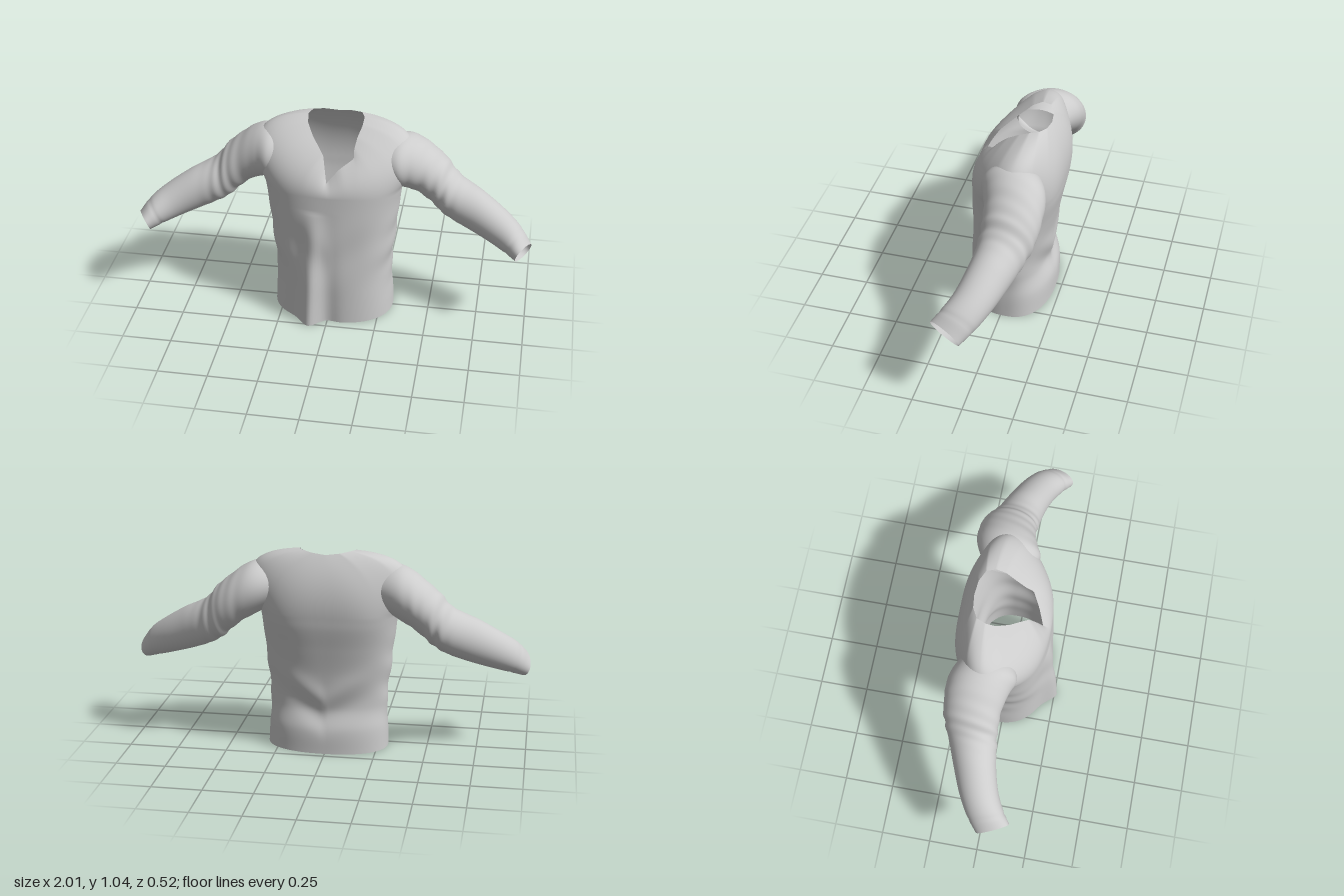
import * as THREE from 'three';

const COLS = 144;

// Piecewise lookup in rows of [key, a, b, ...]; smooth rows use a cubic blend.
function sample(rows, k, smooth = true) {
  let i = 0;
  while (i < rows.length - 2 && k > rows[i + 1][0]) i++;
  const p1 = rows[i], p2 = rows[i + 1];
  const p0 = rows[Math.max(i - 1, 0)], p3 = rows[Math.min(i + 2, rows.length - 1)];
  const h = p2[0] - p1[0], t = (k - p1[0]) / h;
  return p1.slice(1).map((_, n) => {
    const j = n + 1;
    if (!smooth) return p1[j] + (p2[j] - p1[j]) * t;
    const m1 = (p2[j] - p0[j]) / (p2[0] - p0[0]) * h;
    const m2 = (p3[j] - p1[j]) / (p3[0] - p1[0]) * h;
    const t2 = t * t, t3 = t2 * t;
    return (2 * t3 - 3 * t2 + 1) * p1[j] + (t3 - 2 * t2 + t) * m1
      + (3 * t2 - 2 * t3) * p2[j] + (t3 - t2) * m2;
  });
}

const bump = (d, w) => Math.exp(-(d * d) / (w * w));

// Skin of closed rings; point(row 0..1, column 0..1) gives [x, y, z].
function loft(rows, cols, point, flip = false) {
  const pos = [], idx = [];
  for (let r = 0; r <= rows; r++)
    for (let c = 0; c < cols; c++) pos.push(...point(r / rows, c / cols));
  for (let r = 0; r < rows; r++)
    for (let c = 0; c < cols; c++) {
      const a = r * cols + c, b = r * cols + (c + 1) % cols;
      const d = a + cols, e = b + cols;
      if (flip) idx.push(a, d, b, b, d, e);
      else idx.push(a, b, d, b, e, d);
    }
  const g = new THREE.BufferGeometry();
  g.setAttribute('position', new THREE.Float32BufferAttribute(pos, 3));
  g.setIndex(idx);
  g.computeVertexNormals();
  return g;
}

// Body sections: height, half width, front z, back z, back roundness
const BODY = [
  [0, 0.308, 0.212, -0.22, 0.88],
  [0.12, 0.302, 0.212, -0.217, 0.88],
  [0.23, 0.296, 0.212, -0.19, 0.88],
  [0.4, 0.31, 0.208, -0.204, 0.84],
  [0.55, 0.326, 0.204, -0.229, 0.74],
  [0.66, 0.338, 0.2, -0.25, 0.64],
  [0.72, 0.347, 0.198, -0.256, 0.6],
];
const CHEST = 0.72;

// Neckline with its front slit: share of the turn, x, y, z
const NECK = [
  [0, -0.01, 0.79, 0.158],
  [0.03, 0.05, 0.857, 0.128],
  [0.065, 0.115, 0.9, 0.088],
  [0.1, 0.112, 0.935, 0.055],
  [0.15, 0.12, 0.975, 0.01],
  [0.2, 0.138, 1.015, -0.05],
  [0.25, 0.14, 1.035, -0.1],
  [0.32, 0.122, 1.038, -0.145],
  [0.4, 0.07, 1.03, -0.172],
  [0.5, 0, 1.022, -0.18],
  [0.6, -0.07, 1.03, -0.172],
  [0.68, -0.122, 1.038, -0.145],
  [0.75, -0.14, 1.035, -0.1],
  [0.8, -0.135, 1.01, -0.05],
  [0.86, -0.1, 0.965, 0.01],
  [0.91, -0.06, 0.93, 0.06],
  [0.95, -0.035, 0.905, 0.092],
  [0.975, -0.022, 0.85, 0.128],
  [1, -0.01, 0.79, 0.158],
];

function bodySection(y, f) {
  const a = f * Math.PI * 2, s = Math.sin(a), c = Math.cos(a);
  const [w, zf, zb, round] = sample(BODY, y);
  const mid = -0.03;
  const x = w * Math.sign(s) * Math.abs(s) ** (c > 0 ? 0.86 : round);
  let z = mid + Math.abs(c) ** 0.85 * (c > 0 ? zf - mid : zb - mid);
  if (c > 0) {
    // Vertical front pleat and slanted drape folds
    const fade = Math.max(0, 1 - y / 0.64) ** 0.7;
    z += c * fade * (0.062 * bump(x + 0.1 - 0.05 * y, 0.055) - 0.014 * bump(x + 0.01, 0.05));
    z += c * 0.008 * bump(y - 0.42, 0.13) * Math.sin(18 * (Math.abs(x) - 0.5 * y));
  } else {
    // Slack gathered across the small of the back
    z += c * 0.012 * bump(y - 0.28 - 0.6 * Math.abs(x), 0.06) * bump(x, 0.2);
    z -= c * 0.012 * bump(y - 0.17 - 0.6 * Math.abs(x), 0.06) * bump(x, 0.2);
  }
  // Small side wrinkles
  const side = Math.abs(s) ** 4 * Math.sin(Math.PI * y / CHEST) ** 2;
  return [x * (1 + 0.014 * side * Math.sin(34 * y + 9 * z)) + 0.007 * (1 - y / CHEST), y, z];
}

const BODY_SHARE = 0.6;

function bodyPoint(v, f) {
  if (v <= BODY_SHARE) return bodySection(v / BODY_SHARE * CHEST, f);
  // Chest and shoulders curve over to the neckline, flaring into the sleeves
  const t = (v - BODY_SHARE) / (1 - BODY_SHARE);
  const a = f * Math.PI * 2, s2 = Math.sin(a) ** 2;
  const [x, y, z] = bodySection(CHEST, f);
  const n = sample(NECK, f, false);
  const ctrl = [
    x * (1 + 0.48 * s2 * s2),
    y + (n[1] - y) * (0.55 + 0.36 * s2),
    z * (Math.cos(a) < 0 ? 1.06 : 1) - 0.045 * s2 * s2,
  ];
  return [x, y, z].map((p, i) => (1 - t) ** 2 * p + 2 * t * (1 - t) * ctrl[i] + t * t * n[i]);
}

// Sleeve rings: position, top x, top y, bottom x, bottom y, front z, back z
const SLEEVE = [
  [0, 0.22, 0.93, 0.24, 0.76, 0.05, -0.18],
  [0.1, 0.32, 0.962, 0.325, 0.71, 0.085, -0.228],
  [0.18, 0.39, 0.952, 0.375, 0.685, 0.062, -0.245],
  [0.28, 0.47, 0.902, 0.43, 0.655, 0.04, -0.246],
  [0.38, 0.55, 0.835, 0.49, 0.605, 0.032, -0.238],
  [0.47, 0.605, 0.77, 0.545, 0.555, 0.035, -0.215],
  [0.54, 0.65, 0.738, 0.6, 0.522, 0.04, -0.192],
  [0.66, 0.745, 0.69, 0.69, 0.484, 0.055, -0.155],
  [0.8, 0.865, 0.613, 0.79, 0.447, 0.085, -0.105],
  [0.92, 0.945, 0.55, 0.88, 0.415, 0.125, -0.05],
  [1, 0.99, 0.49, 0.945, 0.392, 0.16, 0.005],
];

function sleevePoint(t, f, side) {
  const a = f * Math.PI * 2, s = Math.sin(a), c = Math.cos(a);
  const [ux, uy, lx, ly, zf, zb] = sample(SLEEVE, t);
  // Gathers above the elbow, slanted round the arm, and a narrow cuff seam
  const q = t + 0.03 * s * side + 0.015 * c;
  const k = 1 + 0.026 * bump(q - 0.44, 0.09) * (Math.sin(q * 80) + 0.4 * Math.sin(q * 47 + 2 * a))
    + 0.012 * bump(q - 0.3, 0.08) * Math.sin(q * 55 + a)
    - 0.03 * bump(t - 0.93, 0.012);
  const skew = t ** 4;
  return [
    side * ((ux + lx) / 2 + (ux - lx) / 2 * c * k - 0.03 * s * skew),
    (uy + ly) / 2 + (uy - ly) / 2 * c * k + 0.025 * s * skew,
    (zf + zb) / 2 + (zf - zb) / 2 * s * k,
  ];
}

export function createModel() {
  const cloth = new THREE.MeshStandardMaterial({ color: 0xcccccc, side: THREE.DoubleSide });
  cloth.name = 'light grey cloth';
  const shirt = new THREE.Group();
  shirt.name = 'shirt';

  const add = (name, geometry) => {
    const mesh = new THREE.Mesh(geometry, cloth);
    mesh.name = name;
    shirt.add(mesh);
  };
  add('body', loft(90, COLS, bodyPoint));
  add('leftSleeve', loft(100, 48, (t, f) => sleevePoint(t, f, 1)));
  add('rightSleeve', loft(100, 48, (t, f) => sleevePoint(t, f, -1), true));
  return shirt;
}
